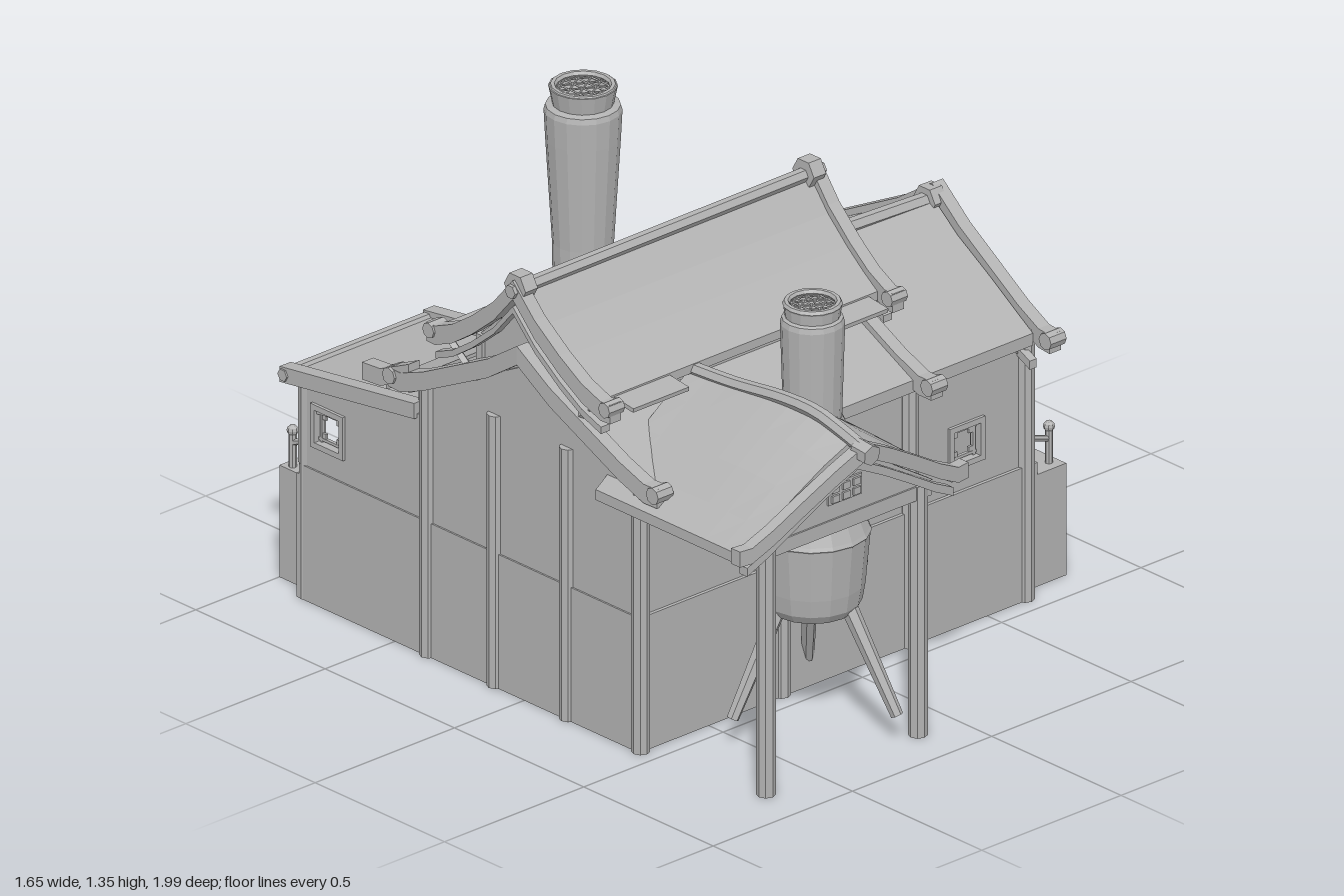
import * as THREE from 'three';

const grey = new THREE.MeshStandardMaterial({ color: 0xb3b3b3, flatShading: true, side: THREE.DoubleSide });
grey.name = 'plain grey';
const V = (x, y, z) => new THREE.Vector3(x, y, z);
const CZ = 0.02; // centre line of the main hall

export function createModel() {
  const root = new THREE.Group();
  root.name = 'hall';

  const add = (name, geo, parent = root) => {
    const m = new THREE.Mesh(geo, grey);
    m.name = name;
    parent.add(m);
    return m;
  };
  // Box given by its low and high corners
  const box = (name, x0, x1, y0, y1, z0, z1, parent) => {
    const m = add(name, new THREE.BoxGeometry(x1 - x0, y1 - y0, z1 - z0), parent);
    m.position.set((x0 + x1) / 2, (y0 + y1) / 2, (z0 + z1) / 2);
    return m;
  };
  // Round or square bar between two points
  const bar = (name, a, b, r, sides = 6, r2 = r, parent = root) => {
    const m = add(name, new THREE.CylinderGeometry(r2, r, a.distanceTo(b), sides), parent);
    m.position.copy(a).lerp(b, 0.5);
    m.quaternion.setFromUnitVectors(V(0, 1, 0), b.clone().sub(a).normalize());
    return m;
  };
  const polygon = pts => new THREE.Shape(pts.map(p => new THREE.Vector2(...p)));
  const extrude = (shape, depth, steps = 1) => new THREE.ExtrudeGeometry(shape, { depth, steps, bevelEnabled: false });

  // Mirrored roof profile swept lengthwise; flare pushes the ridge past the eaves, hump(t) lifts it
  const ribbon = (name, half, t, depth, x, y, z, alongX, flare = 0, whole = false, hump = null) => {
    const top = [...half.slice(1).reverse().map(([u, v]) => [-u, v]), ...half];
    const under = top.map(([u, v]) => [u, v - t]).reverse();
    const g = extrude(polygon([...top, ...under]), depth, hump ? 8 : 1);
    const p = g.attributes.position, max = half[half.length - 1][0];
    for (let i = 0; i < p.count; i++) {
      const k = p.getZ(i) / depth, near = 1 - Math.abs(p.getX(i)) / max;
      if (hump) p.setY(i, p.getY(i) + hump(k) * near);
      p.setZ(i, p.getZ(i) + flare * (whole ? 1 : 2 * k - 1) * near);
    }
    g.computeVertexNormals();
    const m = add(name, g);
    m.position.set(x, y, z);
    if (alongX) m.rotation.y = Math.PI / 2;
    return m;
  };
  // One-sided sheet through (z, y) points
  const sheet = (name, pts, t, x0, x1) => {
    const top = pts.map(([z, y]) => [-z, y]);
    const m = add(name, extrude(polygon([...top, ...top.map(([u, y]) => [u, y - t]).reverse()]), x1 - x0));
    m.position.x = x0;
    m.rotation.y = Math.PI / 2;
  };
  // Gable wall in the z-y plane
  const gable = (name, x, pts) => {
    const m = add(name, extrude(polygon(pts), 0.025));
    m.position.set(x, 0, CZ);
    m.rotation.y = Math.PI / 2;
  };
  // Wall with a see-through lattice window
  const windowWall = (name, w, y0, y1, wx, wy, x, z, turn) => {
    const g = new THREE.Group(), s = 0.05;
    g.name = name;
    const shape = polygon([[-w / 2, y0], [w / 2, y0], [w / 2, y1], [-w / 2, y1]]);
    shape.holes.push(polygon([[wx - s, wy - s], [wx - s, wy + s], [wx + s, wy + s], [wx + s, wy - s]]));
    add('wall', extrude(shape, 0.025), g);
    // Pair of crossing strips, offset from the window centre
    const strips = (part, off, halfW, len, z0, z1) => {
      box(part, wx + off - halfW, wx + off + halfW, wy - len, wy + len, z0, z1, g);
      box(part, wx - len, wx + len, wy + off - halfW, wy + off + halfW, z0, z1, g);
    };
    for (const d of [-1, 1]) {
      strips('windowFrame', d * 0.055, 0.008, 0.063, -0.008, 0.034);
      strips('lattice', d * 0.038, 0.004, 0.048, 0.008, 0.018);
      for (const f of [-1, 1])
        box('latticeCorner', wx + d * 0.03 - 0.01, wx + d * 0.03 + 0.01, wy + f * 0.03 - 0.01, wy + f * 0.03 + 0.01, 0.009, 0.017, g);
    }
    g.position.set(x, 0, z);
    g.rotation.y = turn;
    root.add(g);
  };

  // Hollow base walls and floors
  box('baseFront', -0.75, 0.64, 0, 0.39, 0.42, 0.445);
  box('baseBack', -0.26, 0.64, 0, 0.39, -0.405, -0.38);
  box('baseLeft', -0.75, -0.725, 0, 0.39, -0.87, 0.445);
  box('baseAnnexSide', -0.265, -0.24, 0, 0.39, -0.87, -0.38);
  box('floor', -0.74, 0.66, 0.3, 0.33, -0.4, 0.44);
  box('annexFloor', -0.74, -0.25, 0.3, 0.33, -0.88, -0.4);

  // Upper walls
  box('frontWall', -0.74, 0.22, 0.39, 0.79, 0.41, 0.435);
  box('backWall', -0.26, 0.22, 0.39, 0.79, -0.395, -0.37);
  windowWall('frontWindowWall', 0.42, 0.39, 0.79, 0, 0.52, 0.43, 0.41, 0);
  windowWall('backWindowWall', 0.42, 0.39, 0.79, 0, 0.52, 0.43, -0.37, Math.PI);
  sheet('annexWallLeft', [[-0.4, 0.69], [-0.87, 0.625]], 0.3, -0.27, -0.245);
  windowWall('annexWallRight', 0.48, 0.39, 0.62, -0.12, 0.52, -0.72, -0.64, -Math.PI / 2);
  sheet('annexWallTop', [[-0.4, 0.69], [-0.87, 0.625]], 0.08, -0.745, -0.72);
  const endWall = [[-0.41, 0.33], [0.41, 0.33], [0.41, 0.77], [0, 0.98], [-0.41, 0.77]];
  gable('endWall', -0.745, endWall);
  gable('porchWall', 0.54, endWall);

  // Corner and wall posts
  for (const [x, z] of [[-0.74, 0.44], [-0.23, 0.435], [0.225, 0.44], [0.645, 0.435], [0.225, -0.4],
    [0.645, -0.395], [-0.74, -0.38], [-0.25, -0.4], [-0.74, 0.16], [-0.74, -0.12]])
    bar('post', V(x, 0, z), V(x, 0.79, z), 0.025, 8);
  for (const x of [-0.73, -0.255]) bar('annexPost', V(x, 0, -0.86), V(x, 0.64, -0.86), 0.022, 8);

  // Lower roof: full gable over the porch end, open skirts below the raised roof
  const low = [[0, 1.02], [0.12, 0.945], [0.25, 0.885], [0.36, 0.83], [0.45, 0.785]];
  const lowEdge = [[0, 1.05], [0.12, 0.97], [0.25, 0.905], [0.38, 0.84], [0.47, 0.805], [0.52, 0.805]];
  ribbon('lowerRoof', low, 0.035, 0.45, 0.19, 0, CZ, true, 0.05);
  for (const s of [-1, 1])
    sheet('skirtRoof', [[0.18, 0.915], ...low.slice(2)].map(([u, y]) => [CZ + s * u, y]), 0.035, -0.765, 0.2);
  for (const [x, f] of [[-0.775, -0.02], [0.21, 0], [0.635, 0.06]]) {
    ribbon('lowerBargeBoard', lowEdge, 0.055, 0.04, x, 0, CZ, true, f, true);
    for (const s of [-1, 1]) bar('eaveKnob', V(x - 0.008, 0.785, CZ + s * 0.51), V(x + 0.048, 0.785, CZ + s * 0.51), 0.024, 8);
  }
  ribbon('gableRafter', lowEdge.slice(0, 5), 0.025, 0.025, 0.61, -0.085, CZ, true, 0.04, true);
  bar('lowerRidge', V(0.2, 1.025, CZ), V(0.73, 1.005, CZ), 0.022);

  // Upper roof, raised on a clerestory
  const high = [[0, 1.215], [0.08, 1.13], [0.16, 1.066], [0.23, 1.018], [0.29, 0.982]];
  const highEdge = [[0, 1.245], [0.08, 1.155], [0.17, 1.082], [0.25, 1.028], [0.32, 0.998], [0.355, 0.998]];
  ribbon('upperRoof', high, 0.025, 1.02, -0.77, 0, CZ, true, 0.035);
  bar('upperRidge', V(-0.82, 1.215, CZ), V(0.3, 1.22, CZ), 0.02);
  for (const [x, f] of [[-0.79, -0.02], [0.225, 0.03]]) {
    ribbon('upperBargeBoard', highEdge, 0.055, 0.04, x, 0, CZ, true, f, true);
    ribbon('upperRafter', highEdge.slice(0, 5), 0.02, 0.03, x, -0.075, CZ, true, f, true);
    for (const s of [-1, 1]) {
      bar('upperKnob', V(x - 0.008, 0.98, CZ + s * 0.34), V(x + 0.048, 0.98, CZ + s * 0.34), 0.022, 8);
      bar('bracket', V(x + 0.02, 0.9, CZ + s * 0.2), V(x + 0.02, 0.985, CZ + s * 0.31), 0.012, 4);
    }
  }
  for (const [x, y] of [[-0.78, 1.222], [0.255, 1.225], [0.69, 1.008]])
    bar('ridgeOrnament', V(x - 0.022, y, CZ), V(x + 0.022, y, CZ), 0.042, 6);
  for (const x of [-0.735, 0.195])
    gable('upperGable', x, [[-0.22, 0.87], [0.22, 0.87], [0.22, 0.985], [0, 1.185], [-0.22, 0.985]]);
  for (const s of [-1, 1]) {
    const z = CZ + s * 0.2;
    box('clerestory', -0.51, 0, 0.87, 1.0, z - 0.012, z + 0.012);
    for (const x of [-0.73, 0.205]) box('clerestoryJamb', x - 0.015, x + 0.015, 0.87, 1.0, z - 0.012, z + 0.012);
    for (const x of [-0.615, 0.1]) {
      box('ventSill', x - 0.1, x + 0.1, 0.88, 0.915, z - 0.02, z + 0.02);
      const flap = box('ventFlap', x - 0.1, x + 0.1, 0.965, 0.977, CZ + s * 0.29 - 0.075, CZ + s * 0.29 + 0.075);
      flap.rotation.x = s * 0.12;
    }
  }

  // Open gable frame on the porch end
  box('tieBeam', 0.61, 0.645, 0.725, 0.755, -0.4, 0.44);
  bar('kingPost', V(0.63, 0.74, CZ), V(0.65, 0.98, CZ), 0.017, 4);
  for (const s of [-1, 1]) {
    bar('strut', V(0.63, 0.74, CZ + s * 0.2), V(0.63, 0.88, CZ + s * 0.2), 0.013, 4);
    bar('brace', V(0.63, 0.75, CZ + s * 0.17), V(0.64, 0.93, CZ), 0.012, 4);
    box('innerPost', 0.6, 0.625, 0.33, 0.8, CZ + s * 0.36 - 0.012, CZ + s * 0.36 + 0.012);
    box('doorJamb', 0.56, 0.58, 0.33, 0.73, CZ + s * 0.1 - 0.01, CZ + s * 0.1 + 0.01);
    box('doorJamb', 0.56, 0.58, 0.33, 0.73, CZ + s * 0.22 - 0.006, CZ + s * 0.22 + 0.006);
  }
  const board = box('hangingBoard', 0.668, 0.688, 0.605, 0.718, -0.27, 0.33);
  board.rotation.z = -0.22;

  // Stepped porches and their rails
  box('porchBlock', 0.64, 0.825, 0, 0.325, -0.36, 0.4);
  box('porchStep', 0.62, 0.722, 0.32, 0.36, -0.36, 0.4);
  box('porchThreshold', 0.57, 0.655, 0.32, 0.39, -0.36, 0.4);
  box('annexPorch', -0.7, -0.26, 0, 0.325, -1, -0.87);
  box('annexCorner', -0.75, -0.69, 0, 0.36, -0.88, -0.86);
  box('annexStep', -0.7, -0.26, 0.32, 0.36, -0.92, -0.85);
  const rail = (ax, az, bx, bz) => {
    for (const [x, z, h] of [[ax, az, 0.45], [bx, bz, 0.425]]) {
      bar('railPost', V(x, 0.32, z), V(x, h, z), 0.011, 8);
      add('railKnob', new THREE.SphereGeometry(0.016, 8, 6)).position.set(x, h + 0.006, z);
    }
    bar('handrail', V(ax, 0.43, az), V(bx, 0.395, bz), 0.009);
  };
  for (const z of [0.365, -0.33]) rail(0.685, z, 0.795, z);
  for (const x of [-0.68, -0.28]) rail(x, -0.885, x, -0.97);

  // Rear annex roof
  sheet('rearEave', [[-0.4, 0.81], [-0.545, 0.745]], 0.03, -0.74, -0.21);
  sheet('rearBargeBoard', [[-0.42, 0.84], [-0.53, 0.79], [-0.6, 0.785]], 0.05, -0.775, -0.735);
  box('rearWall', -0.73, -0.26, 0.62, 0.78, -0.43, -0.4);
  sheet('annexRoof', [[-0.42, 0.705], [-0.92, 0.635]], 0.025, -0.73, -0.23);
  for (const x of [-0.755, -0.24]) sheet('annexBargeBoard', [[-0.42, 0.72], [-0.94, 0.65]], 0.045, x, x + 0.04);
  bar('annexEave', V(-0.76, 0.63, -0.925), V(-0.2, 0.63, -0.925), 0.018);
  box('annexBeam', -0.73, -0.25, 0.58, 0.615, -0.875, -0.85);

  // Front pavilion with a humped ridge
  const PX = -0.41;
  const pav = [[0, 0.965], [0.1, 0.915], [0.2, 0.853], [0.3, 0.785], [0.38, 0.735]];
  const pavEdge = [[0, 0.97], [0.1, 0.918], [0.2, 0.86], [0.3, 0.8], [0.37, 0.765], [0.41, 0.765]];
  ribbon('pavilionRoof', pav, 0.03, 0.56, PX, 0, 0.32, false, 0.03, false, k => 0.03 * Math.sin(Math.PI * Math.pow(k, 1.4)));
  ribbon('pavilionBargeBoard', pavEdge, 0.045, 0.035, PX, 0, 0.875, false, 0.055, true);
  ribbon('pavilionRafter', pavEdge.slice(0, 5), 0.025, 0.03, PX, -0.065, 0.865, false, 0.03, true);
  const ridge = new THREE.CatmullRomCurve3([[0.28, 0.96], [0.46, 0.972], [0.66, 0.996], [0.78, 0.997], [0.88, 0.975], [0.97, 0.95]]
    .map(([z, y]) => V(PX - 0.01, y, z)));
  add('pavilionRidge', new THREE.TubeGeometry(ridge, 16, 0.02, 6));
  bar('pavilionOrnament', V(PX - 0.01, 0.95, 0.935), V(PX - 0.01, 0.945, 0.99), 0.03, 6);
  const gableShape = polygon([[-0.32, 0.73], [0.32, 0.73], [0, 0.93]]);
  add('pavilionGable', extrude(gableShape, 0.02)).position.set(PX, 0, 0.85);
  box('gableVent', PX - 0.06, PX + 0.06, 0.775, 0.835, 0.868, 0.876);
  for (const x of [-0.038, 0, 0.038]) for (const y of [0.791, 0.819])
    box('ventPane', PX + x - 0.013, PX + x + 0.013, y - 0.01, y + 0.01, 0.874, 0.882);
  box('pavilionBeam', -0.73, -0.1, 0.69, 0.73, 0.84, 0.875);
  for (const x of [-0.68, -0.135]) {
    bar('pavilionPost', V(x, 0, 0.86), V(x, 0.73, 0.86), 0.026, 8);
    box('sideBeam', x - 0.015, x + 0.015, 0.695, 0.73, 0.43, 0.86);
  }

  // Furnace: turned body and chimney, mesh cap, legs and round hatches
  const furnace = (name, x, z, body, topY, topR, legs, footR, footY, hatches) => {
    const g = new THREE.Group();
    g.name = name;
    g.position.set(x, 0, z);
    root.add(g);
    add('bodyAndChimney', new THREE.LatheGeometry(body.map(p => new THREE.Vector2(...p)), 16), g);
    const ring = add('capRing', new THREE.TorusGeometry(topR * 0.9, 0.01, 6, 16), g);
    ring.position.y = topY - 0.006;
    ring.rotation.x = Math.PI / 2;
    for (let i = -2; i <= 2; i++) for (const a of [0, 1, 2]) {
      const o = i * topR * 0.35, h = Math.sqrt((topR * 0.88) ** 2 - o * o), t = a * Math.PI / 3;
      const at = s => V(o * Math.cos(t) - s * h * Math.sin(t), topY - 0.012, o * Math.sin(t) + s * h * Math.cos(t));
      bar('capMesh', at(-1), at(1), 0.003, 4, 0.003, g);
    }
    for (const deg of legs) {
      const a = deg * Math.PI / 180, c = Math.cos(a), s = Math.sin(a);
      bar('leg', V(c * footR, footY, s * footR), V(c * 0.1, 0.38, s * 0.1), 0.017, 6, 0.024, g);
    }
    for (const [deg, r, y] of hatches) {
      const a = deg * Math.PI / 180, c = Math.cos(a), s = Math.sin(a);
      bar('hatch', V(c * r * 0.85, y, s * r * 0.85), V(c * r, y, s * r), 0.058, 20, 0.058, g);
    }
  };
  furnace('frontFurnace', -0.295, 0.625, [[0, 0.34], [0.115, 0.345], [0.132, 0.37], [0.14, 0.42], [0.153, 0.565],
    [0.157, 0.57], [0.152, 0.58], [0.135, 0.62], [0.085, 0.65], [0.075, 0.68], [0.09, 0.69], [0.09, 0.7],
    [0.07, 0.71], [0.072, 0.85], [0.078, 0.9], [0.086, 1.17], [0.082, 1.185], [0.074, 1.19], [0.078, 1.225], [0.066, 1.228], [0.062, 1.2], [0, 1.2]],
  1.23, 0.078, [190, 310, 70], 0.25, 0.08, [[0, 0.146, 0.455]]);
  bar('roofCollar', V(-0.295, 0.85, 0.625), V(-0.295, 0.9, 0.625), 0.1, 16, 0.08);
  furnace('rearFurnace', 0, -0.58, [[0, 0.345], [0.13, 0.35], [0.153, 0.375], [0.16, 0.4], [0.165, 0.405], [0.17, 0.5],
    [0.182, 0.63], [0.18, 0.66], [0.155, 0.695], [0.1, 0.715], [0.095, 0.73], [0.08, 0.76], [0.082, 0.9], [0.1, 1.2],
    [0.104, 1.28], [0.1, 1.295], [0.082, 1.3], [0.092, 1.35], [0.078, 1.352], [0.075, 1.32], [0, 1.32]],
  1.352, 0.09, [-104, 18, 138], 0.305, 0.04, [[-49, 0.169, 0.48], [-122, 0.169, 0.48]]);

  return root;
}
